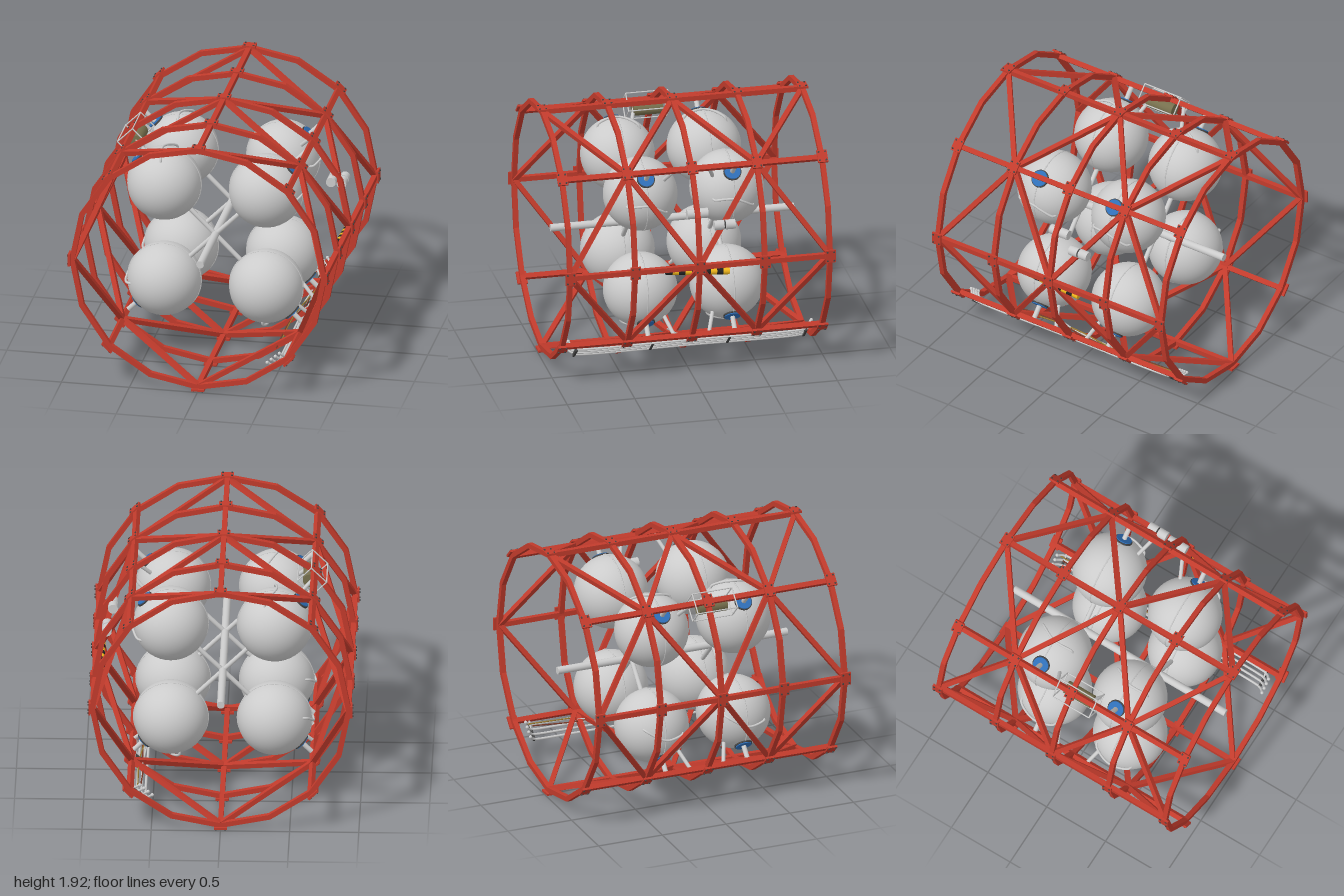
import * as THREE from 'three';

const CY = 0.96, NODES_Z = [-0.962, -0.48, 0, 0.48, 0.962];
const mat = (c, flat = false) => new THREE.MeshStandardMaterial({ color: c, flatShading: flat });
const M = {
  red: mat(0xc23b2c, true), grey: mat(0xcccccc), blue: mat(0x2f6fb8), dark: mat(0x444444),
  olive: mat(0x77704e), yellow: mat(0xf2b81c), black: mat(0x222222), gold: mat(0x9a7a30), brown: mat(0x7a3a28),
};
const V = (x, y, z) => new THREE.Vector3(x, y, z);
// Point at an angle (degrees) and radius around the long axis
const polar = (deg, r, z) => {
  const a = THREE.MathUtils.degToRad(deg);
  return V(r * Math.cos(a), CY + r * Math.sin(a), z);
};

function add(parent, name, geo, material, pos) {
  const m = new THREE.Mesh(geo, material);
  m.name = name;
  if (pos) m.position.copy(pos);
  parent.add(m);
  return m;
}
function group(parent, name) {
  const g = new THREE.Group();
  g.name = name;
  parent.add(g);
  return g;
}
// Round rod between two points
function rod(parent, name, a, b, r, material, seg = 12) {
  const d = b.clone().sub(a);
  const m = add(parent, name, new THREE.CylinderGeometry(r, r, d.length(), seg), material, a.clone().add(b).multiplyScalar(0.5));
  m.quaternion.setFromUnitVectors(V(0, 1, 0), d.normalize());
  return m;
}
// Square beam between two points, one side turned towards the long axis
function beam(parent, name, a, b, w) {
  const mid = a.clone().add(b).multiplyScalar(0.5);
  const dir = b.clone().sub(a), len = dir.length();
  dir.normalize();
  const side = V(mid.x, mid.y - CY, 0).cross(dir).normalize();
  const m = add(parent, name, new THREE.BoxGeometry(w, w, len), M.red, mid);
  m.quaternion.setFromRotationMatrix(new THREE.Matrix4().makeBasis(side, dir.clone().cross(side), dir));
}
function pipe(parent, name, pts, r, material) {
  return add(parent, name, new THREE.TubeGeometry(new THREE.CatmullRomCurve3(pts), 40, r, 8), material);
}

function buildFrame(root) {
  const frame = group(root, 'trussFrame');
  // Sixteen-sided ring hoops
  const loop = (path, r) => path.setFromPoints(Array.from({ length: 16 }, (_, i) => {
    const p = polar(i * 22.5, r, 0);
    return new THREE.Vector2(p.x, p.y - CY);
  })).closePath();
  const shape = loop(new THREE.Shape(), 0.946);
  shape.holes.push(loop(new THREE.Path(), 0.908));
  const hoop = new THREE.ExtrudeGeometry(shape, { depth: 0.036, bevelEnabled: false });
  hoop.translate(0, 0, -0.018);
  const plate = new THREE.BoxGeometry(0.016, 0.095, 0.075);
  const bolt = new THREE.CylinderGeometry(0.007, 0.007, 0.008, 6).rotateZ(Math.PI / 2);
  for (const z of NODES_Z) add(frame, 'ringHoop', hoop, M.red, V(0, CY, z));

  for (let i = 0; i < 8; i++) {
    const a = i * 45;
    beam(frame, 'longeron', polar(a, 0.925, -0.975), polar(a, 0.925, 0.975), 0.037);
    // Bolted joint plates
    for (const z of NODES_Z) {
      const joint = group(frame, 'jointPlate');
      joint.position.copy(polar(a, 0.946, z));
      joint.rotation.z = THREE.MathUtils.degToRad(a);
      add(joint, 'plate', plate, M.red);
      for (const sy of [-1, 1]) for (const sz of [-1, 1]) add(joint, 'bolt', bolt, M.dark, V(0.01, sy * 0.033, sz * 0.024));
    }
    // Diagonals zigzag between the even longerons and the odd ones
    if (i % 2) {
      for (const side of [-45, 45]) for (const s of [-1, 1]) for (const z of [0, s * 0.962]) {
        beam(frame, 'diagonalBrace', polar(a, 0.922, s * 0.48), polar(a + side, 0.922, z), 0.036);
      }
    }
  }
}

function buildTanks(root) {
  const core = group(root, 'coreAndTanks');
  rod(core, 'coreTube', V(0, CY, -0.9), V(0, CY, 0.9), 0.028, M.grey, 24);
  const ball = new THREE.SphereGeometry(0.27, 40, 28).rotateX(Math.PI / 2);
  const seam = new THREE.TorusGeometry(0.27, 0.005, 6, 48);
  for (let q = 0; q < 4; q++) for (const s of [-1, 1]) {
    const a = 45 + q * 90, z = s * 0.32, c = polar(a, 0.53, z);
    add(core, 'tank', ball, M.grey, c);
    add(core, 'tankSeam', seam, M.grey, c);
    rod(core, 'innerStrut', polar(a, 0, z), polar(a, 0.28, z), 0.017, M.grey);
    // Blue outer mount with its strut to the longeron
    rod(core, 'mountRim', polar(a, 0.792, z), polar(a, 0.803, z), 0.066, M.dark, 28);
    rod(core, 'mountDisc', polar(a, 0.79, z), polar(a, 0.81, z), 0.059, M.blue, 28);
    rod(core, 'outerStrut', polar(a, 0.79, z), polar(a, 0.92, z), 0.018, M.grey);
    rod(core, 'sideStrut', polar(a, 0.74, s * 0.185), polar(a, 0.91, s * 0.13), 0.014, M.grey);
    // Pipe hugging the outer face of the tank
    const face = [[0.15, 0, 0.262], [0.14, 0, 0.282], [0.07, 0.012, 0.282], [0, 0.012, 0.282], [-0.07, -0.02, 0.282], [-0.14, -0.065, 0.282], [-0.15, -0.07, 0.262]];
    const pts = face.map(([dz, dy, r]) => V(Math.sqrt(r * r - dz * dz - dy * dy), dy, dz)
      .applyAxisAngle(V(0, 0, 1), q * Math.PI / 2).add(c));
    pipe(core, 'tankPipe', pts, 0.009, M.grey);
  }
}

function buildPipeRack(root) {
  const rack = group(root, 'pipeRack');
  const ends = [[0.9, 0.05], [0.89, 0.035], [0.85, 0.006], [0.8, 0]];
  for (let i = 0; i < 4; i++) {
    const x = 0.545 + i * 0.03, y = 0.185 + i * 0.026;
    const at = ([z, d], s) => V(x - d, y + d, s * z);
    const pts = [...ends.map(e => at(e, 1)), V(x, y, 0), ...ends.slice().reverse().map(e => at(e, -1))];
    pipe(rack, 'rackPipe', pts, 0.009, M.grey);
    for (const s of [-1, 1]) add(rack, 'pipeEnd', new THREE.SphereGeometry(0.013, 10, 8), M.grey, at(ends[0], s));
  }
  for (const z of [-0.85, -0.285, 0.285, 0.85]) {
    const clamp = add(rack, 'pipeClamp', new THREE.BoxGeometry(0.13, 0.024, 0.016), M.dark, V(0.59, 0.224, z));
    clamp.rotation.z = Math.PI / 4.4;
    rod(rack, 'clampPost', V(0.59, 0.224, z), V(0.645, 0.305, z), 0.008, M.grey, 8);
  }
  // Loose cables beside the rack
  pipe(rack, 'cable', [V(0.53, 0.235, 0.6), V(0.52, 0.25, 0.3), V(0.55, 0.28, 0), V(0.6, 0.275, -0.4), V(0.6, 0.29, -0.88)], 0.005, M.gold);
  pipe(rack, 'cable', [V(0.51, 0.24, 0.65), V(0.52, 0.26, 0.2), V(0.58, 0.27, -0.1), V(0.57, 0.26, -0.5), V(0.58, 0.28, -0.85)], 0.005, M.brown);
  pipe(rack, 'cable', [V(0.57, 0.34, 0.17), V(0.54, 0.27, 0.06), V(0.55, 0.26, -0.08), V(0.58, 0.27, -0.5)], 0.006, M.grey);
}

function buildEquipment(root) {
  // Striped bar
  const bar = group(root, 'stripedBar');
  const a = V(0.885, 0.925, 0.245), b = V(0.885, 0.888, -0.225);
  for (let i = 0; i < 10; i++) {
    rod(bar, 'stripe', a.clone().lerp(b, i / 10), a.clone().lerp(b, (i + 1) / 10), 0.024, i % 2 ? M.yellow : M.black, 16);
  }
  // Pair of white canisters with a dark joint
  const cans = group(root, 'canisters');
  for (const [x, y, z] of [[0.8, 1.325, -0.007], [0.84, 1.236, -0.2]]) {
    for (const s of [-1, 1]) rod(cans, 'canister', V(x, y, z + s * 0.006), V(x, y, z + s * 0.077), 0.036, M.grey, 20);
    rod(cans, 'canisterJoint', V(x, y, z - 0.008), V(x, y, z + 0.008), 0.03, M.dark, 20);
  }
  // Olive cylinder inside a wire cage
  const cage = group(root, 'cagedCylinder');
  cage.position.copy(polar(135, 0.905, 0.045));
  cage.position.y -= 0.02;
  cage.rotation.z = Math.PI * 0.75;
  const body = add(cage, 'oliveCylinder', new THREE.CylinderGeometry(0.05, 0.05, 0.22, 20).rotateX(Math.PI / 2), M.olive);
  body.position.set(-0.025, 0, 0);
  const X = 0.07, Y = 0.078, Z = 0.155;
  for (const s of [-1, 1]) for (const t of [-1, 1]) {
    rod(cage, 'cageWire', V(s * X, t * Y, -Z), V(s * X, t * Y, Z), 0.005, M.grey, 8);
    rod(cage, 'cageWire', V(s * X, -Y, t * Z), V(s * X, Y, t * Z), 0.005, M.grey, 8);
    rod(cage, 'cageWire', V(-X, s * Y, t * Z), V(X, s * Y, t * Z), 0.005, M.grey, 8);
  }
}

export function createModel() {
  const root = new THREE.Group();
  root.name = 'tankTrussModule';
  buildFrame(root);
  buildTanks(root);
  buildPipeRack(root);
  buildEquipment(root);
  return root;
}
